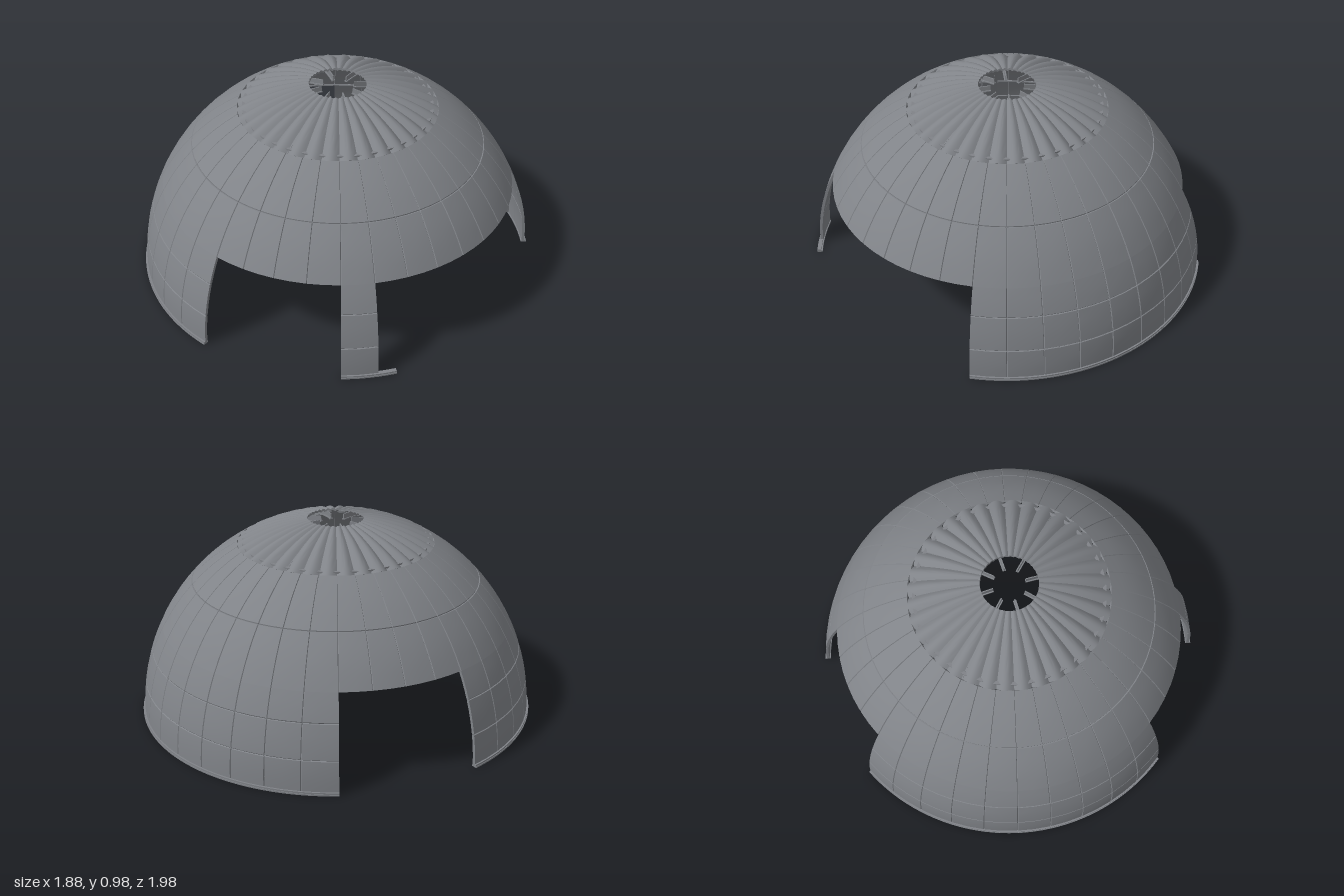
import * as THREE from 'three';
import { toCreasedNormals } from 'three/addons/utils/BufferGeometryUtils.js';

const R = 0.99, RI = 0.976, DEG = Math.PI / 180;
const lat = y => Math.asin(y / R);

// Stops running through the seams, each inner seam becoming a narrow groove
function stops(seams, steps, closed = false) {
  const w = 0.0035, out = [];
  const last = seams.length - 1;
  seams.forEach((s, i) => {
    const groove = closed || (i > 0 && i < last);
    if (groove && i > 0) out.push({ t: s - w, g: 0 });
    out.push({ t: s, g: groove ? 1 : 0 });
    if (i === last) return;
    if (groove) out.push({ t: s + w, g: 0 });
    for (let k = 1; k < steps; k++) {
      out.push({ t: s + (seams[i + 1] - s) * k / steps, g: 0 });
    }
  });
  return out;
}

// Sweeps a closed profile (outer side up, inner side down) around the y axis
function sweep(phis, n, point, capped) {
  const pos = [], idx = [];
  phis.forEach(p => {
    for (let j = 0; j < n; j++) {
      const [r, y] = point(p, j);
      pos.push(r * Math.sin(p.t), y, r * Math.cos(p.t));
    }
  });
  for (let i = 0; i < phis.length - 1; i++) {
    for (let j = 0; j < n; j++) {
      const k = (j + 1) % n, a = i * n, b = a + n;
      idx.push(a + j, b + j, b + k, a + j, b + k, a + k);
    }
  }
  if (capped) {
    const e = (phis.length - 1) * n;
    for (let j = 0; j < n / 2 - 1; j++) {
      const q = [j, j + 1, n - 2 - j, n - 1 - j];
      idx.push(q[0], q[1], q[2], q[0], q[2], q[3]);
      idx.push(e + q[0], e + q[2], e + q[1], e + q[0], e + q[3], e + q[2]);
    }
  }
  const geo = new THREE.BufferGeometry();
  geo.setAttribute('position', new THREE.Float32BufferAttribute(pos, 3));
  geo.setIndex(idx);
  return toCreasedNormals(geo, 0.38);
}

// Panelled spherical shell between two angles
function panelShell(from, to, lats, steps) {
  const seams = [];
  for (let a = from; a <= to; a += 10) seams.push(a * DEG);
  const closed = to - from === 360;
  const rows = stops(lats, steps), m = rows.length;
  return sweep(stops(seams, 2, closed), 2 * m, (p, j) => {
    const outer = j < m, row = rows[outer ? j : 2 * m - 1 - j];
    const cut = Math.max(p.g, row.g) * 0.004;
    const r = outer ? R - cut : RI + cut;
    return [r * Math.cos(row.t), r * Math.sin(row.t)];
  }, !closed);
}

// Plain hoop of rectangular section
function hoop(from, to, r0, r1, y0, y1) {
  const n = Math.ceil((to - from) / 2.5), phis = [];
  for (let i = 0; i <= n; i++) phis.push({ t: (from + (to - from) * i / n) * DEG });
  const profile = [[r1, y0], [r1, y1], [r0, y1], [r0, y0]];
  return sweep(phis, 4, (p, j) => profile[j], to - from < 360);
}

// Curved flat bar following a meridian
function meridianBar(r0, r1, a0, a1, width) {
  const s = new THREE.Shape();
  s.absarc(0, 0, r1, a0, a1, false);
  s.absarc(0, 0, r0, a1, a0, true);
  const geo = new THREE.ExtrudeGeometry(s, { depth: width, bevelEnabled: false, curveSegments: 24 });
  geo.translate(0, 0, -width / 2);
  geo.rotateY(-Math.PI / 2);
  return toCreasedNormals(geo, 0.4);
}

export function createModel() {
  const grey = new THREE.MeshStandardMaterial({ color: 0x808388 });
  grey.name = 'panelGrey';
  const model = new THREE.Group();
  const dome = new THREE.Group();
  dome.name = 'dome';
  dome.position.x = 0.06;
  model.add(dome);
  const add = (name, geo, parent = dome) => {
    const mesh = new THREE.Mesh(geo, grey);
    mesh.name = name;
    parent.add(mesh);
    return mesh;
  };

  // Lower walls with openings between them, each on its base rail
  const wallLats = [0.008, 0.165, 0.33, 0.458].map(lat);
  const walls = [
    ['backWall', 120, 210, 210],
    ['rightWall', 250, 350, 350],
    ['frontPost', 30, 40, 45],
  ];
  for (const [name, from, to, railTo] of walls) {
    add(name, panelShell(from, to, wallLats, 3));
    add(name + 'Rail', hoop(from, railTo, 0.972, 1.0, 0, 0.007));
    add(name + 'RailLip', hoop(from, railTo, 0.978, 0.997, 0.007, 0.015));
  }

  // Upper dome band
  add('upperShell', panelShell(0, 360, [0.458, 0.68, 0.86].map(lat), 4));

  // Fluted cap with an open centre
  const m = 10, low = lat(0.86), high = Math.acos(0.14 / R);
  const flutePhis = [];
  for (let i = 0; i <= 288; i++) flutePhis.push({ t: i * 1.25 * DEG });
  add('flutedCap', sweep(flutePhis, 2 * m, (p, j) => {
    const outer = j < m, k = outer ? j : 2 * m - 1 - j;
    const a = low + (high - low) * k / (m - 1);
    const flute = 0.04 * Math.cos(a) * (1 - Math.abs(Math.sin(18 * p.t)));
    const r = (outer ? R + 0.002 : R - 0.008) - flute;
    return [r * Math.cos(a), r * Math.sin(a)];
  }, false));

  // Inner hoops stiffening the shell
  [0.46, 0.68, 0.86].forEach((y, i) => {
    const r = Math.sqrt(RI * RI - y * y);
    add('innerHoop' + (i + 1), hoop(0, 360, r - 0.012, r + 0.004, y, y + 0.008));
  });

  // Flanged inner ribs, running to the ground only where a wall stands
  const grounded = [135, 180, 270, 315];
  for (let a = 0; a < 360; a += 45) {
    const rib = new THREE.Group();
    rib.name = 'rib' + a;
    rib.rotation.y = a * DEG;
    const start = grounded.includes(a) ? 0.01 : lat(0.462);
    const end = Math.acos(0.08 / 0.96);
    add('ribWeb', meridianBar(0.952, 0.977, start, end, 0.005), rib);
    add('ribFlange', meridianBar(0.948, 0.953, start, end, 0.016), rib);
    dome.add(rib);
  }
  return model;
}
